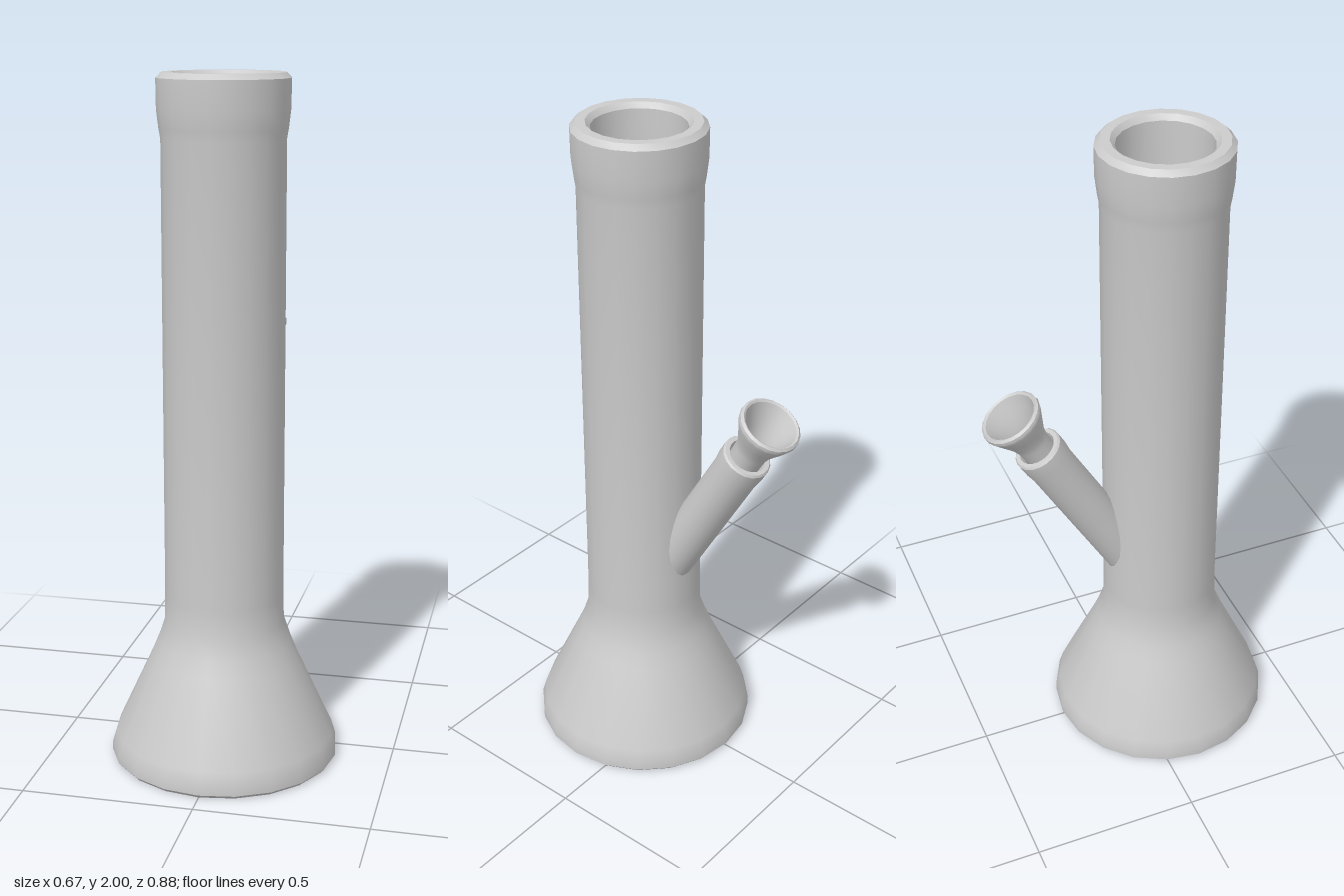
import * as THREE from 'three';
import { toCreasedNormals } from 'three/addons/utils/BufferGeometryUtils.js';

const SIDES = 20;
const grey = new THREE.MeshStandardMaterial({ color: 0xcccccc });

// Turned part from [radius, height] pairs, sharp only at its rims
function turned(name, profile) {
  const points = profile.map(([r, y]) => new THREE.Vector2(r, y));
  const geometry = toCreasedNormals(new THREE.LatheGeometry(points, SIDES), 0.5);
  const mesh = new THREE.Mesh(geometry, grey);
  mesh.name = name;
  return mesh;
}

export function createModel() {
  const model = new THREE.Group();
  model.name = 'waterPipe';

  // Hollow body: flared base, straight tube and thickened mouth
  const body = turned('body', [
    [0, 0], [0.328, 0], [0.337, 0.01], [0.337, 0.035], [0.325, 0.075],
    [0.217, 0.31], [0.197, 0.36], [0.177, 0.42], [0.175, 0.5],
    [0.175, 1.82], [0.18, 1.85], [0.186, 1.9], [0.187, 1.985],
    [0.172, 2], [0.145, 2], [0.132, 1.985],
    [0.132, 0.44], [0.152, 0.36], [0.29, 0.06], [0.29, 0.04], [0, 0.04],
  ]);
  body.position.z = 0.1;
  model.add(body);

  // Slanted side stem, its origin at the socket's lip
  const stem = new THREE.Group();
  stem.name = 'stem';
  stem.position.set(0, 1.11, -0.286);
  stem.rotation.x = -Math.PI / 6;
  stem.add(turned('stemTube', [
    [0, -0.63], [0.07, -0.63], [0.069, -0.08], [0.073, -0.045],
    [0.073, -0.006], [0.068, 0], [0.056, 0], [0.052, -0.01], [0.052, -0.06], [0, -0.06],
  ]));

  // Funnel bowl seated in the socket
  stem.add(turned('bowl', [
    [0, -0.05], [0.048, -0.05], [0.05, 0.03], [0.056, 0.055], [0.071, 0.09],
    [0.088, 0.128], [0.092, 0.14], [0.091, 0.148], [0.084, 0.154],
    [0.078, 0.15], [0.062, 0.11], [0.05, 0.075], [0.042, 0.03], [0.042, -0.03], [0, -0.03],
  ]));
  model.add(stem);

  return model;
}
